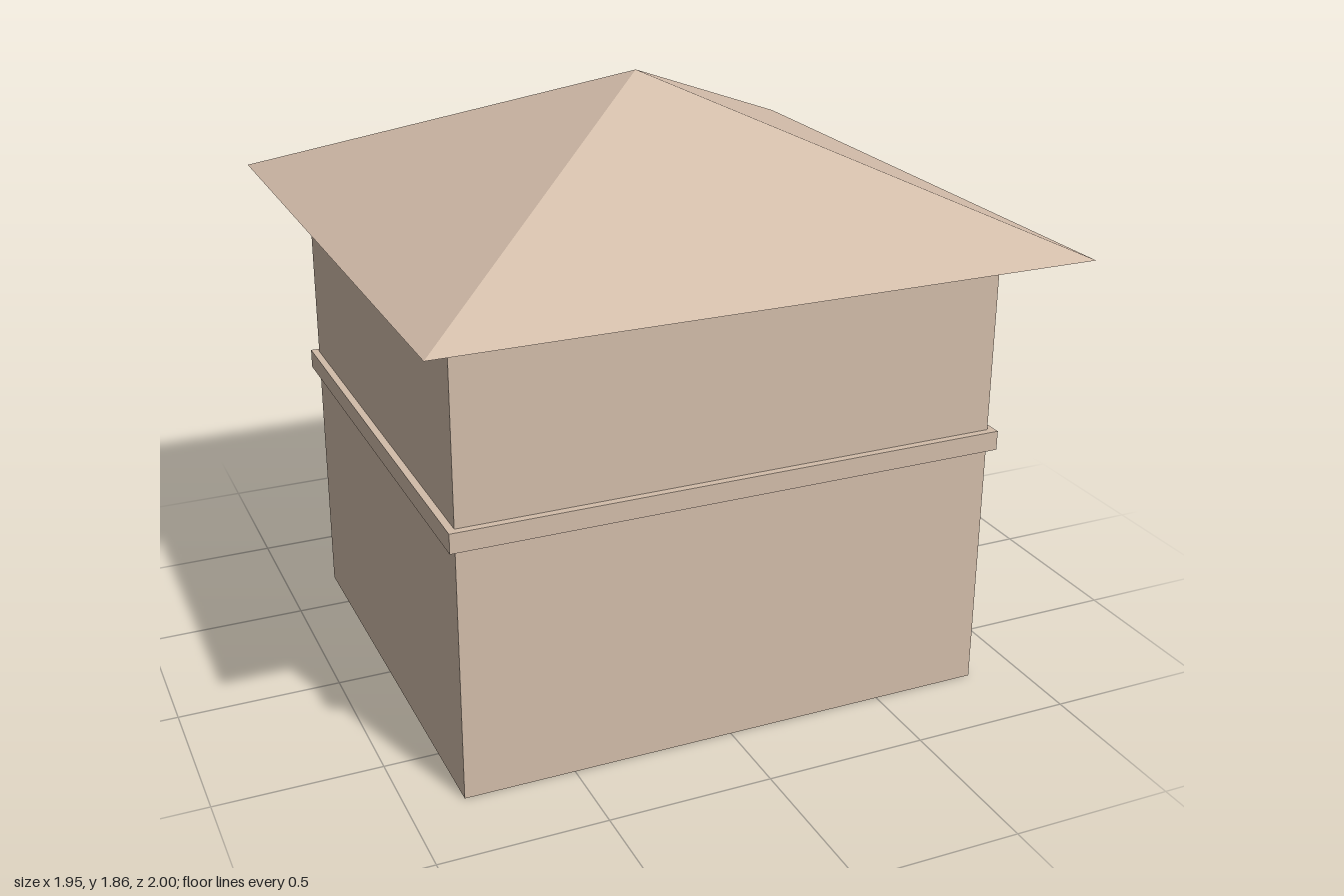
import * as THREE from 'three';

export function createModel() {
  const model = new THREE.Group();
  model.name = 'house';

  const material = (name, color) => {
    const m = new THREE.MeshStandardMaterial({ color });
    m.name = name;
    return m;
  };
  const plaster = material('beige plaster', 0xd2bca9);
  const wood = material('brown wood', 0x8c7059);
  const teal = material('teal', 0x5aa3a0);

  const add = (name, geometry, mat, x, y, z) => {
    const mesh = new THREE.Mesh(geometry, mat);
    mesh.name = name;
    mesh.position.set(x, y, z);
    model.add(mesh);
    return mesh;
  };
  // Box given by its x centre and width, and its y and z limits
  const box = (name, mat, x, width, y0, y1, z0, z1) =>
    add(name, new THREE.BoxGeometry(width, y1 - y0, z1 - z0), mat, x, (y0 + y1) / 2, (z0 + z1) / 2);

  // Walls and the ledge between the storeys
  box('walls', plaster, 0, 1.67, 0, 1.435, -0.69, 0.744);
  box('ledge', plaster, 0, 1.714, 0.785, 0.845, -0.713, 0.767);

  // Pyramid roof
  const roof = new THREE.ConeGeometry(0.973 * Math.SQRT2, 0.427, 4, 1).toNonIndexed();
  roof.rotateY(Math.PI / 4);
  roof.computeVertexNormals();
  add('roof', roof, plaster, 0, 1.435 + 0.427 / 2, 0.027);

  // Door and windows on the back wall
  box('door', wood, 0, 0.32, 0, 0.5, -0.714, -0.685);
  for (const side of [-1, 1]) {
    box('upperWindow', wood, side * 0.48, 0.266, 0.957, 1.24, -0.714, -0.685);
    box('lowerWindow', wood, side * 0.48, 0.266, 0.385, 0.67, -0.714, -0.685);
  }

  // Balcony slab, its brackets and railing posts
  box('balconyFloor', plaster, 0, 1.014, 0.82, 0.856, -0.925, -0.685);
  for (const side of [-1, 1]) {
    box('balconyBracket', plaster, side * 0.32, 0.025, 0.605, 0.822, -0.74, -0.715);
  }
  const railPost = new THREE.CylinderGeometry(0.011, 0.011, 0.172, 8);
  for (let i = -2; i <= 2; i++) add('railingPost', railPost, plaster, i * 0.215, 0.941, -0.914);

  // Tilted awning over the door with two slim posts
  const awning = add('awning', new THREE.BoxGeometry(0.81, 0.021, 0.287), teal, 0, 0.624, -0.856);
  awning.rotation.x = 0.158;
  const awningPost = new THREE.CylinderGeometry(0.008, 0.008, 0.6, 8);
  for (const side of [-1, 1]) add('awningPost', awningPost, teal, side * 0.36, 0.3, -0.702);

  return model;
}
